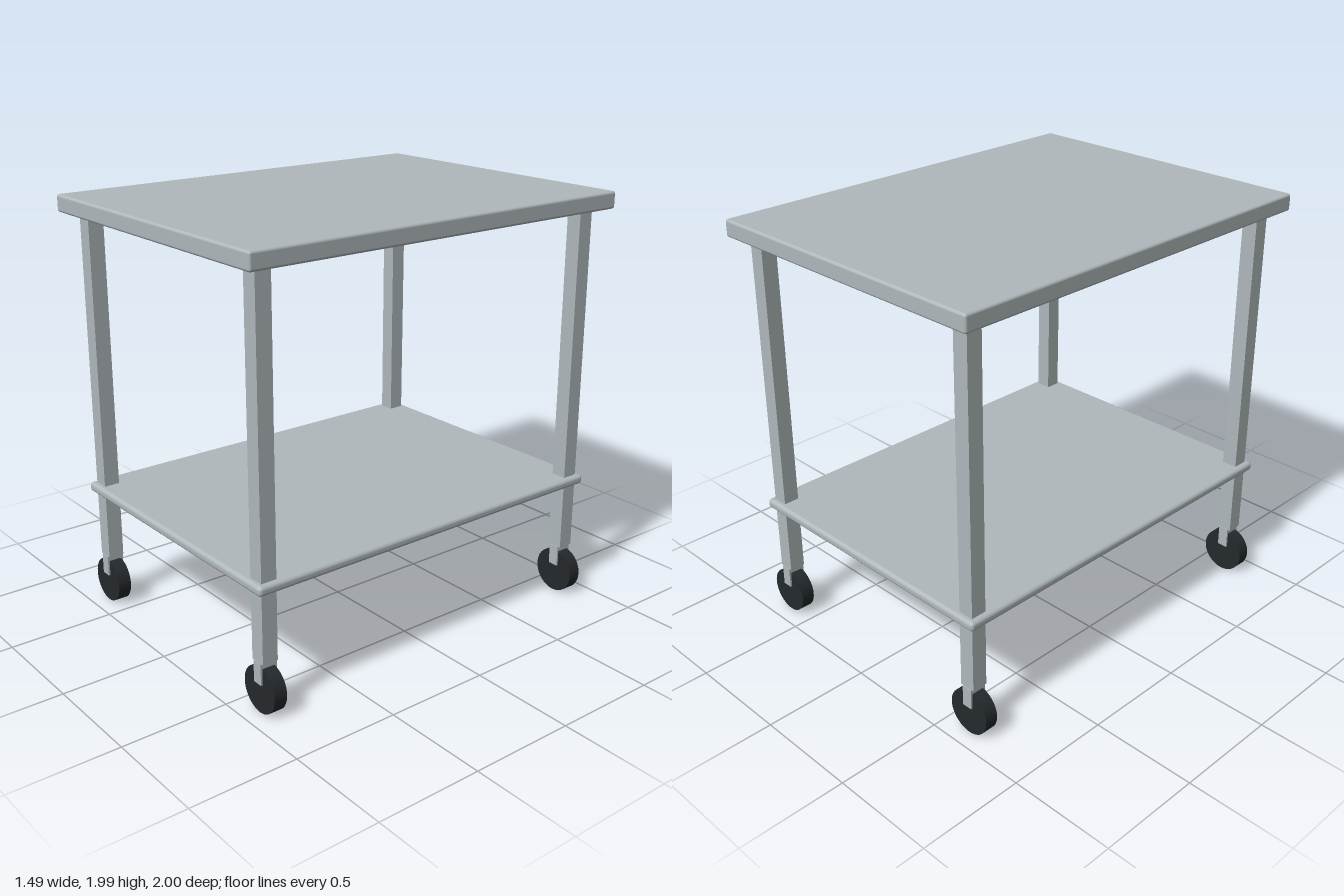
import * as THREE from 'three';
import { RoundedBoxGeometry } from 'three/addons/geometries/RoundedBoxGeometry.js';

const metal = new THREE.MeshStandardMaterial({ color: 0xb0b8bb });
const rubber = new THREE.MeshStandardMaterial({ color: 0x24292c });

function part(name, geometry, material, x, y, z) {
  const mesh = new THREE.Mesh(geometry, material);
  mesh.name = name;
  mesh.position.set(x, y, z);
  return mesh;
}

// Swivel-free caster: wheel rolling along x, held between two fork plates
function makeCaster() {
  const caster = new THREE.Group();
  caster.name = 'caster';
  const wheelGeometry = new THREE.CylinderGeometry(0.107, 0.107, 0.064, 40).rotateX(Math.PI / 2);
  caster.add(part('wheel', wheelGeometry, rubber, 0, 0.107, 0));
  caster.add(part('forkBridge', new THREE.BoxGeometry(0.05, 0.025, 0.082), metal, 0, 0.2275, 0));
  for (const side of [-1, 1]) {
    caster.add(part('forkPlate', new THREE.BoxGeometry(0.05, 0.1, 0.01), metal, 0, 0.19, side * 0.036));
  }
  return caster;
}

export function createModel() {
  const cart = new THREE.Group();
  cart.name = 'cart';

  // Flat surfaces with softened edges
  cart.add(part('tabletop', new RoundedBoxGeometry(1.494, 0.08, 2, 4, 0.012), metal, 0, 1.945, 0));
  cart.add(part('lowerShelf', new RoundedBoxGeometry(1.406, 0.046, 1.91, 4, 0.018), metal, 0, 0.587, 0));

  // Four square legs, each on a caster
  for (const x of [-0.638, 0.638]) {
    for (const z of [-0.89, 0.89]) {
      cart.add(part('leg', new THREE.BoxGeometry(0.075, 1.67, 0.075), metal, x, 1.075, z));
      const caster = makeCaster();
      caster.position.set(x, 0, z);
      cart.add(caster);
    }
  }
  return cart;
}
